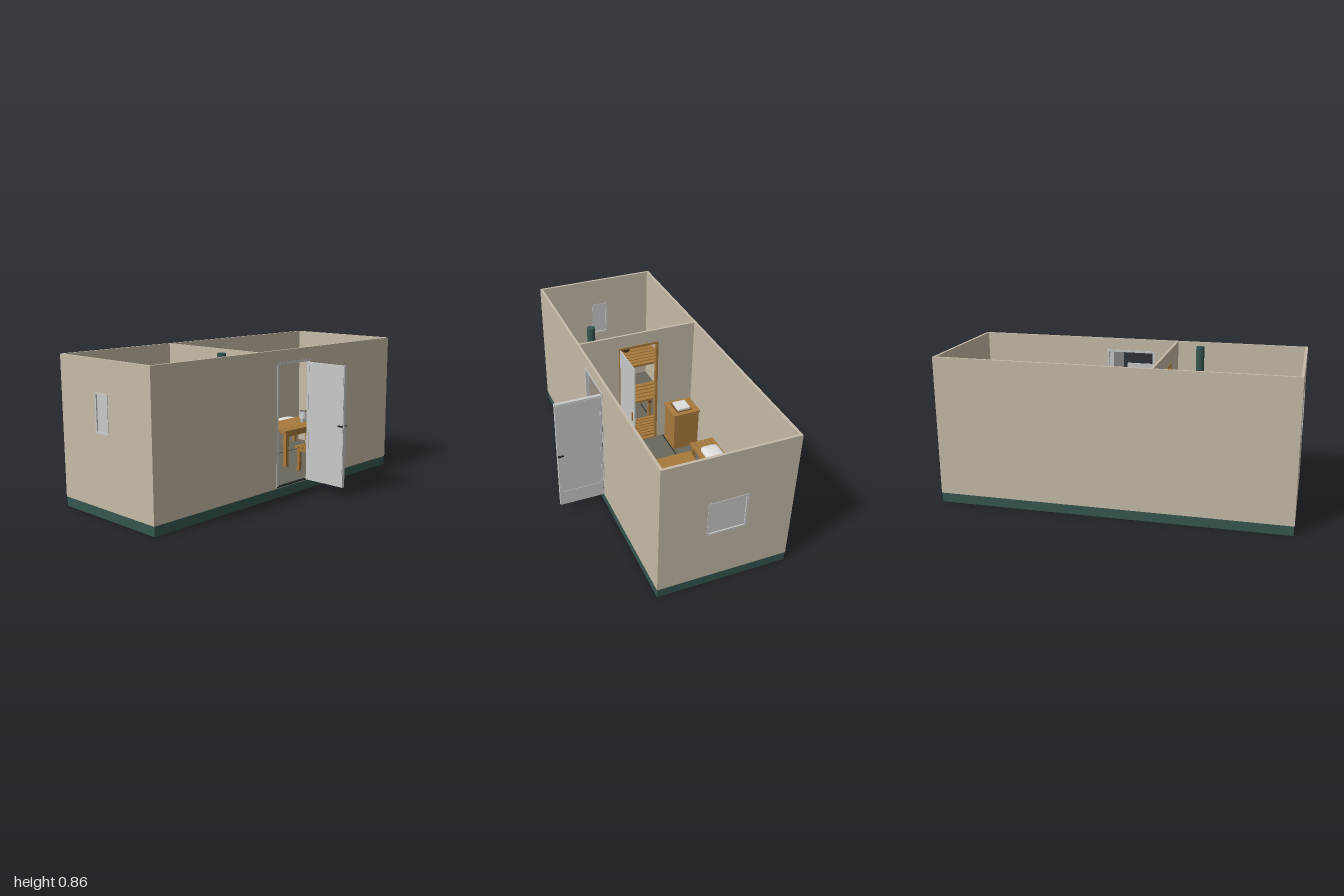
import * as THREE from 'three';
import { RoundedBoxGeometry } from 'three/addons/geometries/RoundedBoxGeometry.js';

const paint = (name, color) => Object.assign(new THREE.MeshStandardMaterial({ color }), { name });

export function createModel() {
  const wallMat = paint('beige wall', 0xc6bba8);
  const green = paint('dark green', 0x355650);
  const wood = paint('warm wood', 0xa87a3c);
  const floorMat = paint('grey floor', 0x6a685c);
  const pale = paint('pale grey', 0xc8cac9);
  const black = paint('black metal', 0x1e2626);
  const white = paint('white cloth', 0xdededc);
  const stone = paint('stone', 0x55585a);
  const darkWood = paint('dark wood', 0x6e4a22);

  const root = new THREE.Group();
  root.name = 'saunaCabin';
  const group = (name, parent = root) => {
    const g = new THREE.Group();
    g.name = name;
    parent.add(g);
    return g;
  };
  const mesh = (name, geo, mat, parent, x = 0, y = 0, z = 0) => {
    const m = new THREE.Mesh(geo, mat);
    m.name = name;
    m.position.set(x, y, z);
    parent.add(m);
    return m;
  };
  // Box given by its limits on each axis
  const box = (name, mat, x0, x1, y0, y1, z0, z1, parent = root) =>
    mesh(name, new THREE.BoxGeometry(x1 - x0, y1 - y0, z1 - z0), mat, parent,
      (x0 + x1) / 2, (y0 + y1) / 2, (z0 + z1) / 2);
  const cyl = (name, mat, r0, r1, h, x, y, z, parent, n = 24) =>
    mesh(name, new THREE.CylinderGeometry(r0, r1, h, n), mat, parent, x, y, z);
  const lathe = points => new THREE.LatheGeometry(points.map(p => new THREE.Vector2(...p)), 24);
  const ring = (r, tube) => new THREE.TorusGeometry(r, tube, 6, 32).rotateX(Math.PI / 2);

  // Upright panel from u0 to u1 with one optional rectangular hole
  const panel = (u0, u1, y0, y1, depth, hole) => {
    const rect = (T, a, b, c, d) => new T([[a, c], [b, c], [b, d], [a, d]].map(p => new THREE.Vector2(...p)));
    const s = rect(THREE.Shape, u0, u1, y0, y1);
    if (hole) s.holes.push(rect(THREE.Path, ...hole));
    return new THREE.ExtrudeGeometry(s, { depth, bevelEnabled: false });
  };
  const panelX = (name, mat, u0, u1, y0, y1, z, t, hole, parent) =>
    mesh(name, panel(u0, u1, y0, y1, t, hole), mat, parent, 0, 0, z);
  const panelZ = (name, mat, u0, u1, y0, y1, x, t, hole, parent) =>
    mesh(name, panel(u0, u1, y0, y1, t, hole).rotateY(-Math.PI / 2), mat, parent, x + t, 0, 0);

  // Shell
  const B = 0.055, T = 0.855, F = 0.06;
  box('base', green, -0.997, 0.997, 0, B, -0.513, 0.243);
  box('floor', floorMat, -0.985, 0.985, B, F, -0.5, 0.23);
  box('floorJoint', black, -0.66, 0.98, F, F + 0.001, -0.312, -0.306);
  const walls = group('walls');
  panelX('backWall', wallMat, -1, 1, B, T, -0.515, 0.015, null, walls);
  panelX('frontWall', wallMat, -1, 1, B, T, 0.23, 0.015, [-0.085, 0.2, F, 0.78], walls);
  panelZ('rightWall', wallMat, -0.5, 0.23, B, T, -1, 0.015, [-0.205, -0.107, 0.465, 0.675], walls);
  panelZ('leftWall', wallMat, -0.5, 0.23, B, T, 0.985, 0.015, [-0.24, -0.025, 0.355, 0.56], walls);
  panelZ('partition', wallMat, -0.5, 0.23, F, T, -0.238, 0.013, [-0.255, -0.02, 0.065, 0.765], walls);

  // Windows in the end walls
  const makeWindow = (name, x, z0, z1, y0, y1) => {
    const g = group(name);
    panelZ('windowFrame', pale, z0, z1, y0, y1, x - 0.01, 0.02,
      [z0 + 0.011, z1 - 0.011, y0 + 0.011, y1 - 0.011], g);
    box('pane', pale, x - 0.003, x + 0.003, y0 + 0.01, y1 - 0.01, z0 + 0.01, z1 - 0.01, g);
  };
  makeWindow('leftWindow', 0.9925, -0.245, -0.02, 0.35, 0.565);
  makeWindow('rightWindow', -0.9925, -0.21, -0.102, 0.46, 0.68);

  // Entrance, with the door swung fully open
  const entrance = group('entrance');
  panelX('doorFrame', pale, -0.092, 0.203, F - 0.002, 0.785, 0.226, 0.021, [-0.08, 0.193, 0.064, 0.772], entrance);
  box('threshold', black, -0.09, 0.17, F, F + 0.006, 0.228, 0.248, entrance);
  const door = group('frontDoor', entrance);
  box('doorLeaf', pale, 0.172, 0.192, F, 0.767, 0.248, 0.515, door);
  for (const x of [0.170, 0.192]) {
    panelZ('doorTrim', pale, 0.25, 0.512, 0.14, 0.76, x, 0.002, [0.26, 0.5, 0.157, 0.75], door);
  }
  for (const s of [-1, 1]) {
    const x = 0.182 + s * 0.017;
    box('doorHandle', black, x - 0.004, x + 0.004, 0.416, 0.424, 0.482, 0.514, door);
    box('handleStem', black, x - 0.008, x + 0.008, 0.416, 0.424, 0.505, 0.513, door);
  }
  for (const y of [0.18, 0.65]) cyl('hinge', pale, 0.004, 0.004, 0.02, 0.196, y, 0.257, door, 12);

  // Inner doorway with open glass door
  const inner = group('innerDoor');
  panelZ('innerFrame', wood, -0.265, -0.012, F, 0.775, -0.243, 0.023, [-0.25, -0.026, 0.066, 0.762], inner);
  box('glassLeaf', pale, -0.218, 0.015, 0.066, 0.765, -0.022, -0.016, inner);
  for (const z of [-0.029, -0.016]) box('woodHandle', wood, -0.014, -0.004, 0.395, 0.455, z, z + 0.007, inner);

  // Rows of slats; along is the axis the boards run in
  const slats = (parent, along, n, gap, x0, x1, y0, y1, z0, z1) => {
    const [a, b] = along === 'x' ? [z0, z1] : [x0, x1];
    const w = (b - a - gap * (n - 1)) / n;
    for (let i = 0; i < n; i++) {
      const p = a + i * (w + gap);
      if (along === 'x') box('slat', wood, x0, x1, y0, y1, p, p + w, parent);
      else box('slat', wood, p, p + w, y0, y1, z0, z1, parent);
    }
  };

  // Sauna platforms
  const upper = group('upperBench');
  slats(upper, 'z', 9, 0.006, -0.985, -0.66, 0.33, 0.345, -0.498, 0.228);
  for (const z of [-0.49, -0.14, 0.2]) {
    box('bearer', darkWood, -0.98, -0.665, 0.305, 0.33, z, z + 0.02, upper);
    box('benchLeg', wood, -0.69, -0.67, F, 0.305, z, z + 0.02, upper);
  }
  const lower = group('lowerBench');
  const benchCuts = [-0.498, -0.33, -0.13, 0.04, 0.22];
  for (let i = 0; i < 4; i++) {
    const z = benchCuts[i];
    slats(lower, 'z', 5, 0.007, -0.632, -0.44, 0.195, 0.21, z + 0.003, benchCuts[i + 1] - 0.003);
    box('bearer', darkWood, -0.632, -0.44, 0.175, 0.195, z + 0.01, z + 0.03, lower);
    for (const x of [-0.625, -0.465]) box('benchLeg', wood, x, x + 0.02, F, 0.175, z + 0.01, z + 0.03, lower);
  }
  const grate = group('floorGrate');
  const grateCuts = [-0.498, -0.35, -0.17, 0.01, 0.22];
  for (let i = 0; i < 4; i++) {
    slats(grate, 'z', 7, 0.007, -0.434, -0.245, F, 0.075, grateCuts[i] + 0.003, grateCuts[i + 1] - 0.003);
  }

  // Stove with stones, chimney and fire tunnel through the partition
  const stove = group('stove');
  box('stoveBody', green, -0.435, -0.275, 0.08, 0.3, 0.02, 0.19, stove);
  box('stoneTray', black, -0.427, -0.283, 0.3, 0.302, 0.028, 0.182, stove);
  for (const x of [-0.435, -0.283]) box('stoveRim', green, x, x + 0.008, 0.3, 0.312, 0.02, 0.19, stove);
  for (const z of [0.02, 0.182]) box('stoveRim', green, -0.427, -0.283, 0.3, 0.312, z, z + 0.008, stove);
  for (let i = 0; i < 5; i++) for (let j = 0; j < 5; j++) {
    const x = -0.408 + i * 0.027, z = 0.05 + j * 0.028;
    if (Math.hypot(x + 0.39, z - 0.105) < 0.034) continue;
    const s = mesh('stoveStone', new THREE.DodecahedronGeometry(0.012 + 0.002 * ((i * 3 + j) % 3)), stone, stove, x, 0.306, z);
    s.rotation.set(i, j * 2, i + j);
  }
  cyl('chimney', green, 0.024, 0.024, 0.555, -0.39, 0.5775, 0.105, stove);
  box('fireTunnel', green, -0.275, -0.205, 0.1, 0.24, 0.06, 0.155, stove);
  box('fireDoor', black, -0.205, -0.199, 0.095, 0.245, 0.055, 0.16, stove);
  box('fireDoorHandle', black, -0.199, -0.19, 0.16, 0.19, 0.07, 0.077, stove);
  for (const x of [-0.425, -0.3]) for (const z of [0.03, 0.165]) box('stoveFoot', black, x, x + 0.015, F, 0.08, z, z + 0.015, stove);

  // Firewood crate
  const crate = group('firewoodCrate');
  box('crateBottom', black, -0.205, -0.14, F, 0.066, 0.182, 0.224, crate);
  for (const x of [-0.205, -0.144]) for (const z of [0.182, 0.22]) box('cratePost', black, x, x + 0.004, F, 0.16, z, z + 0.004, crate);
  for (let i = 0; i < 3; i++) for (let j = 0; j < 5; j++) {
    cyl('log', (i + j) % 2 ? wood : darkWood, 0.009, 0.009, 0.034,
      -0.191 + i * 0.0185, 0.076 + j * 0.018, 0.203, crate, 8).rotation.x = Math.PI / 2;
  }

  // Water bucket and ladle on the upper bench
  const bucket = group('waterBucket');
  bucket.position.set(-0.875, 0.345, -0.3);
  mesh('bucketBody', lathe([[0, 0], [0.03, 0], [0.037, 0.06], [0.033, 0.06], [0.028, 0.008], [0, 0.008]]), darkWood, bucket);
  for (const [y, r] of [[0.015, 0.032], [0.053, 0.036]]) mesh('bucketHoop', ring(r, 0.002), black, bucket, 0, y);
  mesh('bucketHandle', new THREE.TorusGeometry(0.037, 0.003, 6, 20, Math.PI), black, bucket, 0, 0.058);
  cyl('ladleHandle', black, 0.003, 0.003, 0.1, 0.02, 0.07, 0, bucket, 8).rotation.z = -0.9;
  mesh('ladleBowl', new THREE.SphereGeometry(0.015, 16, 10), black, bucket, -0.015, 0.04);

  // Dressing room benches
  const makeBench = (name, x0, x1, z0, z1) => {
    const g = group(name);
    slats(g, 'x', 5, 0.007, x0, x1, 0.207, 0.22, z0, z1);
    for (let i = 0; i < 3; i++) {
      const x = x0 + 0.012 + i * (x1 - x0 - 0.044) / 2;
      box('benchRail', wood, x, x + 0.02, 0.187, 0.207, z0 + 0.008, z1 - 0.008, g);
      for (const z of [z0 + 0.008, z1 - 0.028]) box('benchLeg', wood, x, x + 0.02, F, 0.187, z, z + 0.02, g);
    }
  };
  makeBench('backBench', 0.11, 0.94, -0.5, -0.345);
  makeBench('frontBench', 0.275, 0.94, 0.067, 0.228);

  // Cushions: a sphere squared off in plan
  const cushionGeo = new THREE.SphereGeometry(1, 32, 20);
  const pos = cushionGeo.attributes.position;
  const square = v => Math.sign(v) * Math.pow(Math.abs(v), 0.4);
  for (let i = 0; i < pos.count; i++) {
    const x = pos.getX(i), z = pos.getZ(i), r = Math.hypot(x, z) || 1;
    const q = Math.pow(r, 0.6);
    pos.setXYZ(i, 0.07 * q * square(x / r), 0.022 * pos.getY(i), 0.058 * q * square(z / r));
  }
  cushionGeo.computeVertexNormals();
  for (const [x, z] of [[0.275, -0.42], [0.775, -0.42], [0.405, 0.145], [0.805, 0.145]]) {
    mesh('cushion', cushionGeo, white, root, x, 0.241, z);
  }

  // Table with jug and cups
  const table = group('table');
  box('tableTop', wood, 0.275, 0.94, 0.285, 0.3, -0.265, -0.065, table);
  box('tableTop', wood, 0.275, 0.94, 0.285, 0.3, -0.062, -0.01, table);
  for (const x of [0.3, 0.89]) for (const z of [-0.25, -0.05]) box('tableLeg', wood, x, x + 0.025, F, 0.285, z, z + 0.025, table);
  for (const z of [-0.245, -0.042]) box('apron', wood, 0.325, 0.89, 0.255, 0.285, z, z + 0.015, table);
  mesh('jug', lathe([[0, 0], [0.022, 0], [0.027, 0.025], [0.018, 0.055], [0.02, 0.07], [0.016, 0.07], [0.014, 0.055], [0, 0.05]]),
    pale, table, 0.605, 0.3, -0.14);
  mesh('jugRim', ring(0.019, 0.003), stone, table, 0.605, 0.37, -0.14);
  for (const [x, z] of [[0.565, -0.115], [0.643, -0.112]]) cyl('cup', pale, 0.013, 0.01, 0.03, x, 0.315, z, table, 16);

  // Washstand
  const stand = group('washstand');
  box('cabinet', wood, -0.205, -0.055, F, 0.31, -0.48, -0.315, stand);
  box('counter', wood, -0.212, -0.05, 0.31, 0.322, -0.485, -0.308, stand);
  box('counterInset', darkWood, -0.185, -0.08, 0.322, 0.324, -0.443, -0.342, stand);
  mesh('basin', new RoundedBoxGeometry(0.09, 0.02, 0.085, 3, 0.006), white, stand, -0.132, 0.33, -0.393);

  // Centre the depth between the back wall and the open door
  return root;
}
